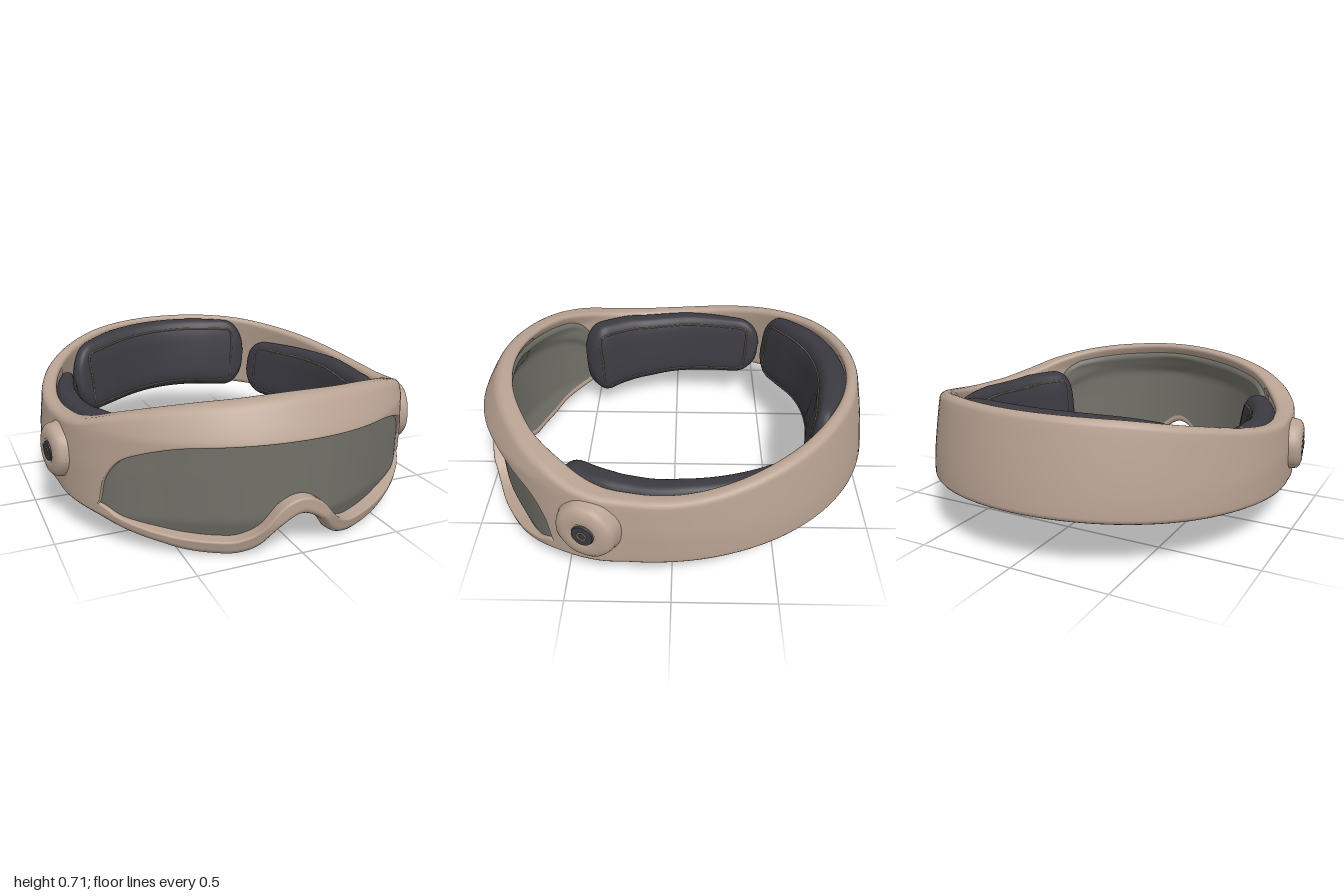
import * as THREE from 'three';

const RX = 0.933, RZ = 1.0, OPEN = 57; // ring radii, half angle of the lens opening
const mat = (name, color, side = THREE.FrontSide) => {
  const m = new THREE.MeshStandardMaterial({ color, side });
  m.name = name;
  return m;
};

// Smooth curve through [x, y] pairs
function curve(pts) {
  const slope = (i) => {
    if (i === 0 || i === pts.length - 1) return 0;
    return (pts[i + 1][1] - pts[i - 1][1]) / (pts[i + 1][0] - pts[i - 1][0]);
  };
  return (x) => {
    let i = 0;
    while (i < pts.length - 2 && x > pts[i + 1][0]) i++;
    const [x0, y0] = pts[i], [x1, y1] = pts[i + 1], w = x1 - x0;
    const s = THREE.MathUtils.clamp((x - x0) / w, 0, 1), q = 1 - s;
    return y0 * (1 + 2 * s) * q * q + slope(i) * w * s * q * q
      + y1 * s * s * (3 - 2 * s) - slope(i + 1) * w * s * s * q;
  };
}

// Heights and thicknesses by angle in degrees, 0 at the front and 180 at the back
const fold = (f) => (t) => f(Math.abs(((t + 540) % 360) - 180));
const yTop = fold(curve([[0, .705], [25, .685], [40, .655], [53, .61], [65, .555], [75, .533], [90, .535], [102, .56], [127, .635], [150, .688], [180, .705]]));
const yBot = fold(curve([[0, .185], [6, .14], [12, .04], [18, .003], [24, .003], [33, .02], [40, .05], [50, .09], [59, .13], [75, .155], [90, .18], [120, .215], [180, .26]]));
const lensTop = fold(curve([[0, .53], [25, .52], [35, .505], [45, .46], [51, .405], [55, .31], [57, .195]]));
const lensBot = fold(curve([[0, .265], [6, .23], [12, .125], [18, .08], [24, .078], [33, .09], [40, .11], [50, .15], [57, .195]]));
const wall = fold(curve([[0, .09], [40, .095], [60, .112], [80, .085], [90, .08], [140, .065], [180, .06]]));
const bulge = fold(curve([[0, 0], [30, .004], [45, .018], [60, .026], [70, .02], [80, 0], [180, 0]]));
const recess = fold(curve([[0, .05], [38, .046], [57, .012]]));

// Lean of the outer wall: brow slopes back, rear narrows upward, temples swell
function outer(t, y) {
  const c = Math.cos(THREE.MathUtils.degToRad(t));
  const brow = -.09 * Math.pow(Math.max(0, (y - .53) / .17), 1.2) - .045 * Math.max(0, (.15 - y) / .15);
  const rear = -.07 * Math.pow(Math.max(0, (y - .26) / .44), 1.4);
  const side = -.02 * Math.max(0, (y - .36) / .2);
  return bulge(t) + (c > 0 ? THREE.MathUtils.lerp(side, brow, c) : THREE.MathUtils.lerp(side, rear, -c));
}
function ringPoint(t, off, y) {
  const a = THREE.MathUtils.degToRad(t);
  return new THREE.Vector3((RX + off) * Math.sin(a), y, (RZ + off) * Math.cos(a));
}

// Skin over cross-sections
function skin(rings, closed = true) {
  const n = rings[0].length, pos = [], idx = [];
  rings.forEach((r) => r.forEach((p) => pos.push(p.x, p.y, p.z)));
  for (let i = 0; i < rings.length - 1; i++) {
    for (let j = 0; j < (closed ? n : n - 1); j++) {
      const k = (j + 1) % n, a = i * n + j, b = a + n, c = (i + 1) * n + k, d = i * n + k;
      idx.push(a, b, c, a, c, d);
    }
  }
  const g = new THREE.BufferGeometry();
  g.setAttribute('position', new THREE.Float32BufferAttribute(pos, 3));
  g.setIndex(idx);
  g.computeVertexNormals();
  return g;
}

// Values from t0 to t1, denser near the ends
const angles = (t0, t1, n) => Array.from({ length: n + 1 }, (_, i) =>
  (t0 + t1) / 2 + (t1 - t0) / 2 * Math.sin(Math.PI * (i / n - .5)));

// Rounded wall section between two heights
function wallSection(t, y0, y1, r0, r1) {
  const h = y1 - y0, th = wall(t), pts = [];
  const a0 = Math.min(r0, h / 2.2), a1 = Math.min(r1, h / 2.2);
  const arc = (d, y, r, start) => {
    for (let i = 0; i <= 4; i++) {
      const a = start + i * Math.PI / 8;
      pts.push([d - r * Math.cos(a), y + r * Math.sin(a)]);
    }
  };
  const line = (d, ya, yb) => {
    for (let i = 1; i < 10; i++) pts.push([d, ya + (yb - ya) * i / 10]);
  };
  arc(a0, y0 + a0, a0, -Math.PI / 2);
  line(0, y0 + a0, y1 - a1);
  arc(a1, y1 - a1, a1, 0);
  arc(th - a1, y1 - a1, a1, Math.PI / 2);
  line(th, y1 - a1, y0 + a0);
  arc(th - a0, y0 + a0, a0, Math.PI);
  return pts.map(([d, y]) => ringPoint(t, outer(t, y) - d, y));
}

// Point on a cushion: u along its length, a around its section; the domed face tilts up
function padPoint(pad, u, a) {
  const t = pad.from + (pad.to - pad.from) * u;
  const q = Math.min(1, Math.min(u, 1 - u) * Math.abs(pad.to - pad.from) / 9);
  const e = Math.pow(Math.max(0, 1 - Math.pow(1 - q, 2.3)), .45);
  const sp = (v, k) => Math.sign(v) * Math.pow(Math.abs(v), k);
  const top = pad.top(t), bot = yBot(t) + pad.drop, s = sp(Math.sin(a), .5);
  const y = (top + bot) / 2 + (top - bot) / 2 * e * s;
  const back = outer(t, y) - wall(t) + .01;
  const face = outer(t, top) - wall(t) - pad.thick(u) + .025 * s;
  return ringPoint(t, THREE.MathUtils.lerp(back, face, (1 - e * sp(Math.cos(a), .6)) / 2), y);
}

export function createModel() {
  const model = new THREE.Group();
  const tan = mat('tan shell', 0xb8a292), lensGrey = mat('lens grey', 0x727169, THREE.DoubleSide);
  const padding = mat('dark padding', 0x3b3a41), thread = mat('seam thread', 0x7d7264);
  const add = (parent, name, geometry, material) => {
    const m = new THREE.Mesh(geometry, material);
    m.name = name;
    parent.add(m);
    return m;
  };

  // Shell: brow and lower rim around the opening, band around the head
  const front = angles(-OPEN, OPEN, 150);
  add(model, 'brow', skin(front.map((t) => wallSection(t, lensTop(t), yTop(t), .01, .028))), tan);
  add(model, 'lowerRim', skin(front.map((t) => wallSection(t, yBot(t), lensBot(t), .028, .01))), tan);
  add(model, 'headBand', skin(angles(OPEN, 360 - OPEN, 120).map((t) => wallSection(t, yBot(t), yTop(t), .028, .028))), tan);

  // Lens: recessed front face, and a lining behind it that steps inward under the brow
  const strip = (ts, low, high, depth) => skin(ts.map((t) => Array.from({ length: 25 }, (_, j) => {
    const y = THREE.MathUtils.lerp(low(t), high(t), j / 24);
    return ringPoint(t, outer(t, y) - depth(t, y, j / 24), y);
  })), false);
  add(model, 'lens', strip(front, (t) => lensBot(t) - .012, (t) => lensTop(t) + .012, (t, y) => recess(t) * (1 + .7 * (.53 - y))), lensGrey);
  const lining = (t, y, v) => wall(t) + (v === 1 ? -.01 : .004 + .018 * THREE.MathUtils.smoothstep(y, lensTop(t) - .03, lensTop(t) + .03));
  add(model, 'lensLining', strip(angles(-56, 56, 110), (t) => yBot(t) + .045,
    (t) => Math.min(yTop(t) - .05, lensTop(t) + .13), lining), lensGrey);

  // Cushions with a stitched seam
  const sideThick = curve([[0, .16], [.2, .155], [.5, .138], [.8, .115], [1, .08]]);
  const sideTop = (t) => Math.min(yTop(t) + .006, .545);
  const pads = [
    { name: 'backPad', from: 143, to: 233, top: (t) => yTop(t) - .012, drop: .02, thick: curve([[0, .09], [.2, .145], [.5, .165], [.8, .145], [1, .09]]) },
    { name: 'leftPad', from: 50, to: 141, top: sideTop, drop: -.012, thick: sideThick },
    { name: 'rightPad', from: -124, to: -50, top: sideTop, drop: -.012, thick: (u) => sideThick(1 - u) },
  ];
  for (const pad of pads) {
    const group = new THREE.Group();
    group.name = pad.name;
    model.add(group);
    const rings = angles(0, 1, 60).map((u) => Array.from({ length: 40 }, (_, j) => padPoint(pad, u, j / 40 * Math.PI * 2)));
    add(group, 'cushion', skin(rings), padding);
    const loop = [], up = 2.5, down = Math.PI * 2 - up;
    for (let i = 0; i <= 16; i++) loop.push(padPoint(pad, .06 + .88 * i / 16, up));
    loop.push(padPoint(pad, .95, Math.PI));
    for (let i = 16; i >= 0; i--) loop.push(padPoint(pad, .06 + .88 * i / 16, down));
    loop.push(padPoint(pad, .05, Math.PI));
    add(group, 'seam', new THREE.TubeGeometry(new THREE.CatmullRomCurve3(loop, true), 160, .005, 5, true), thread);
  }

  // Side knobs: faintly scalloped dial with a dark button
  const profile = [[.162, -.11], [.156, -.07], [.148, -.05], [.147, -.035], [.14, -.016], [.125, -.004], [.1, .004], [.068, .006], [.058, -.002], [0, -.002]];
  const dial = new THREE.LatheGeometry(profile.map(([r, y]) => new THREE.Vector2(r, y)), 64);
  const p = dial.attributes.position;
  for (let i = 0; i < p.count; i++) {
    const x = p.getX(i), z = p.getZ(i), r = Math.hypot(x, z);
    const k = r > .12 ? 1 + .008 * Math.cos(8 * Math.atan2(z, x)) : 1;
    p.setXYZ(i, x * k, p.getY(i), z * k);
  }
  dial.computeVertexNormals();
  const knob = (name, x, z, nx, nz, size) => {
    const g = new THREE.Group();
    g.name = name;
    add(g, 'dial', dial, tan);
    add(g, 'button', new THREE.CylinderGeometry(.052, .056, .012, 32), padding).position.y = .001;
    const ring = add(g, 'buttonRing', new THREE.TorusGeometry(.02, .005, 6, 24), thread);
    ring.rotation.x = Math.PI / 2;
    ring.position.y = .006;
    g.position.set(x, .363, z);
    g.scale.set(size, 1, size);
    g.quaternion.setFromUnitVectors(new THREE.Vector3(0, 1, 0), new THREE.Vector3(nx, 0, nz).normalize());
    model.add(g);
  };
  knob('leftKnob', .935, .395, .94, .33, 1);
  knob('rightKnob', -.958, .265, -.98, .18, .88);

  return model;
}
